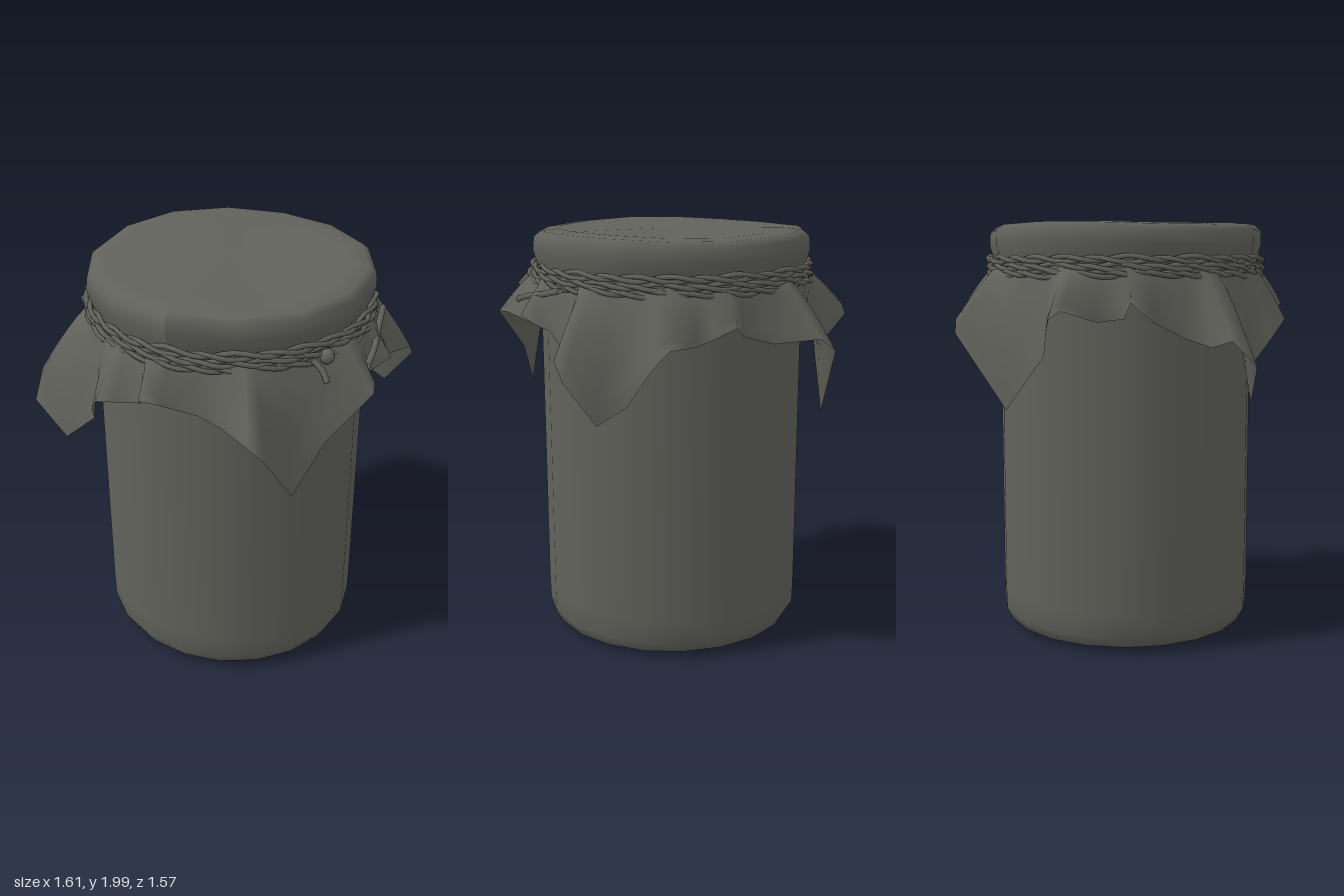
import * as THREE from 'three';

const DOUBLE = THREE.DoubleSide;
const clay = new THREE.MeshStandardMaterial({ color: 0x62625c, side: DOUBLE });
clay.name = 'dark grey';

// Skirt hem seen from above, as x, z pairs running round the jar
const HEM = [
  0.78, -0.04, 0.70, 0.04, 0.78, 0.19, 0.80, 0.27, 0.64, 0.42, 0.55, 0.57, 0.49, 0.75, 0.43, 0.78,
  0.25, 0.66, 0.15, 0.67, 0.00, 0.70, -0.03, 0.77, -0.10, 0.75, -0.12, 0.69, -0.24, 0.70, -0.31, 0.755,
  -0.38, 0.68, -0.42, 0.60, -0.60, 0.57, -0.75, 0.58, -0.77, 0.47, -0.67, 0.39, -0.64, 0.28, -0.69, 0.13,
  -0.81, 0.03, -0.69, 0.0, -0.68, -0.12, -0.81, -0.27, -0.79, -0.33, -0.60, -0.36, -0.54, -0.54,
  -0.46, -0.78, -0.37, -0.79, -0.21, -0.67, -0.03, -0.71, 0.04, -0.79, 0.12, -0.72, 0.19, -0.69,
  0.35, -0.78, 0.40, -0.71, 0.47, -0.57, 0.61, -0.57, 0.75, -0.54, 0.76, -0.45, 0.64, -0.32, 0.67, -0.12, 0.75, -0.11,
];

function mesh(name, geometry) {
  const m = new THREE.Mesh(geometry, clay);
  m.name = name;
  return m;
}

function lathe(points, sides) {
  return new THREE.LatheGeometry(points.map(([r, y]) => new THREE.Vector2(r, y)), sides);
}

// Square cloth hanging below the tie: hem is lowest on the diagonals
function skirtGeometry() {
  const n = HEM.length / 2, rows = 5, position = [], index = [];
  for (let j = 0; j <= rows; j++) {
    const t = j / rows;
    for (let i = 0; i <= n; i++) {
      const x = HEM[(i % n) * 2], z = HEM[(i % n) * 2 + 1];
      const r = Math.hypot(x, z), c = x / r, s = z / r;
      const square = 1 / Math.max(Math.abs(c), Math.abs(s)) - 1;
      const fold = Math.max(0, r - 0.7) * 0.7 * (1 - square / 0.414);
      const hemY = 1.56 - 1.02 * square + fold;
      const radius = 0.652 + (r - 0.652) * Math.pow(t, 0.8);
      position.push(c * radius, 1.79 + (hemY - 1.79) * t, s * radius);
    }
  }
  for (let j = 0; j < rows; j++) {
    for (let i = 0; i < n; i++) {
      const a = j * (n + 1) + i, b = a + n + 1;
      index.push(a, a + 1, b, b, a + 1, b + 1);
    }
  }
  const g = new THREE.BufferGeometry();
  g.setAttribute('position', new THREE.Float32BufferAttribute(position, 3));
  g.setIndex(index);
  g.computeVertexNormals();
  return g;
}

// One strand of twine winding about a ring round the neck
function strandGeometry(y, phase, tilt) {
  const points = [];
  for (let i = 0; i < 84; i++) {
    const a = i / 84 * Math.PI * 2, w = a * 14 + phase;
    const r = 0.664 + 0.011 * Math.cos(w);
    points.push(new THREE.Vector3(r * Math.cos(a), y + 0.011 * Math.sin(w) + tilt * Math.sin(a * 2 + phase), r * Math.sin(a)));
  }
  return new THREE.TubeGeometry(new THREE.CatmullRomCurve3(points, true), 168, 0.012, 5, true);
}

function tailGeometry(points) {
  const curve = new THREE.CatmullRomCurve3(points.map(p => new THREE.Vector3(...p)));
  return new THREE.TubeGeometry(curve, 12, 0.015, 5);
}

export function createModel() {
  const model = new THREE.Group();
  model.name = 'covered jar';

  // Jar with a softly bevelled, slightly hollow base
  const jar = mesh('jar', lathe([[0, 0.025], [0.38, 0.018], [0.48, 0.005], [0.6, 0.03], [0.635, 0.09],
    [0.638, 0.2], [0.638, 1.6], [0.63, 1.8]], 20));
  jar.scale.z = 0.975;
  model.add(jar);

  // Cloth cap over the lid, a little uneven
  const capShape = lathe([[0.63, 1.76], [0.65, 1.82], [0.672, 1.89], [0.668, 1.955], [0.635, 1.982], [0.56, 1.99], [0.3, 1.988], [0, 1.985]], 14);
  const p = capShape.attributes.position;
  for (let i = 0; i < p.count; i++) {
    const a = Math.atan2(p.getZ(i), p.getX(i)), r = Math.hypot(p.getX(i), p.getZ(i));
    if (p.getY(i) > 1.85) p.setY(i, p.getY(i) + 0.01 * r * Math.cos(3 * a + 1.2));
  }
  capShape.computeVertexNormals();
  model.add(mesh('clothCap', capShape));
  model.add(mesh('clothSkirt', skirtGeometry()));

  // Three turns of two-strand twine
  const twine = new THREE.Group();
  twine.name = 'twine';
  [1.755, 1.785, 1.82].forEach((y, k) => {
    for (const phase of [0, Math.PI]) twine.add(mesh('twineStrand', strandGeometry(y, phase + k, 0.005)));
  });

  // Knot and loose ends
  const knot = mesh('knot', new THREE.SphereGeometry(0.035, 8, 6));
  knot.position.set(0.6, 1.76, 0.33);
  twine.add(knot);
  twine.add(mesh('longTail', tailGeometry([[0.66, 1.75, -0.26], [0.69, 1.715, -0.1], [0.72, 1.69, 0.04], [0.73, 1.66, 0.16]])));
  twine.add(mesh('shortTail', tailGeometry([[0.56, 1.77, 0.4], [0.61, 1.73, 0.41], [0.64, 1.69, 0.43]])));
  model.add(twine);
  return model;
}
